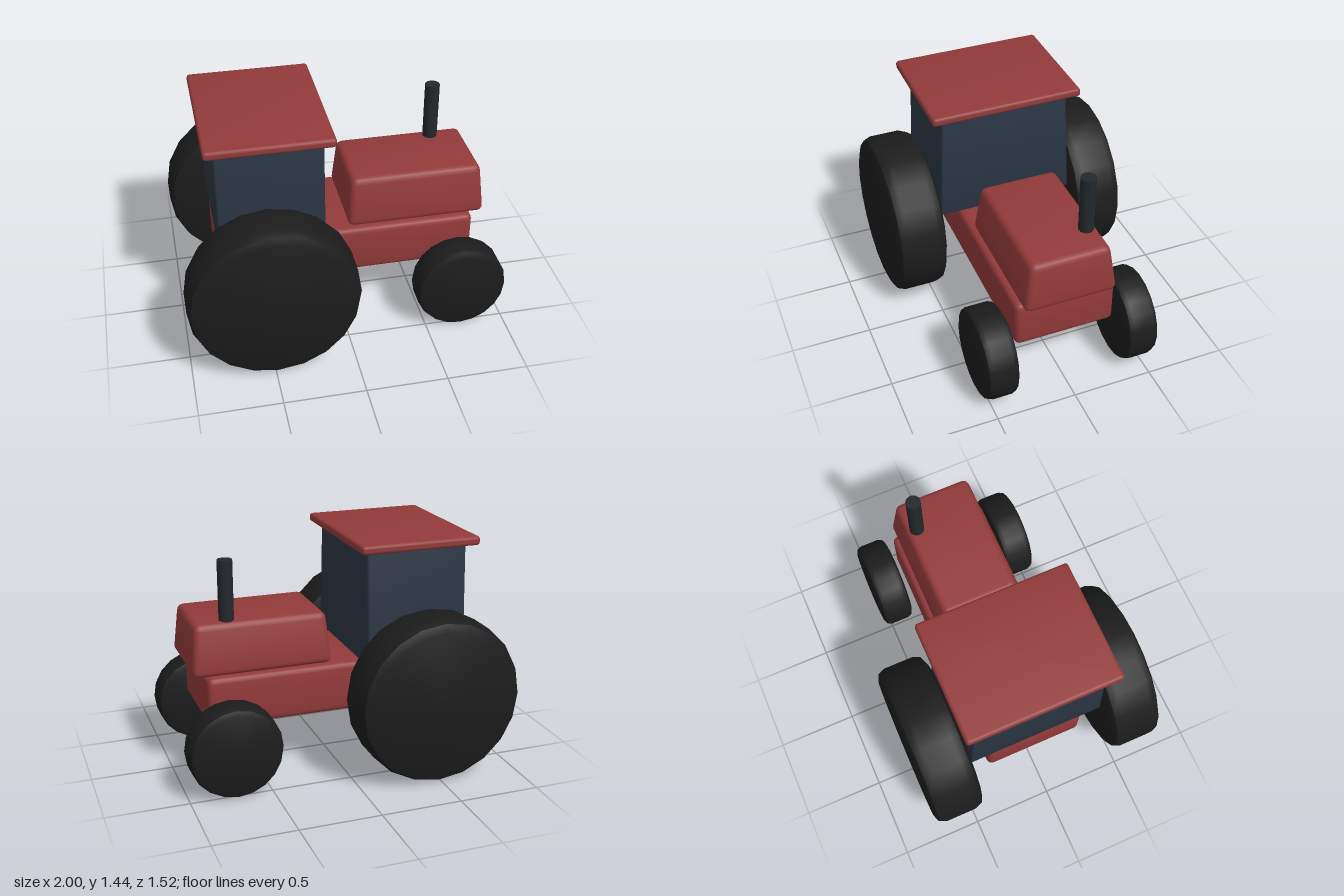
import * as THREE from 'three';
import { toCreasedNormals } from 'three/addons/utils/BufferGeometryUtils.js';
import { RoundedBoxGeometry } from 'three/addons/geometries/RoundedBoxGeometry.js';

const paint = (color) => new THREE.MeshStandardMaterial({ color });

export function createModel() {
  const model = new THREE.Group();
  const red = paint(0x933a3a);
  const rubber = paint(0x1c1c1c);
  const glass = paint(0x2a3644);
  const steel = paint(0x23282c);

  const add = (name, geometry, material, x, y, z) => {
    const mesh = new THREE.Mesh(geometry, material);
    mesh.name = name;
    mesh.position.set(x, y, z);
    model.add(mesh);
    return mesh;
  };

  // Bevelled box between two corners, narrowing towards the top by topX and topZ
  const block = (name, material, [x0, x1], [y0, y1], halfZ, bevel, topX = 1, topZ = 1) => {
    const h = y1 - y0;
    const geometry = new RoundedBoxGeometry(x1 - x0, h, halfZ * 2, 2, bevel);
    const p = geometry.attributes.position;
    for (let i = 0; i < p.count; i++) {
      const t = p.getY(i) / h + 0.5;
      p.setX(i, p.getX(i) * THREE.MathUtils.lerp(1, topX, t));
      p.setZ(i, p.getZ(i) * THREE.MathUtils.lerp(1, topZ, t));
    }
    add(name, toCreasedNormals(geometry, 0.5), material, (x0 + x1) / 2, (y0 + y1) / 2, 0);
  };

  block('chassis', red, [-0.76, 0.825], [0.37, 0.68], 0.315, 0.035);
  block('hood', red, [0.04, 0.905], [0.68, 0.995], 0.29, 0.04, 0.935, 0.84);
  block('cab', glass, [-0.765, -0.13], [0.68, 1.39], 0.435, 0.012, 1, 0.92);
  block('roof', red, [-0.825, -0.07], [1.385, 1.44], 0.475, 0.02);

  // Exhaust pipe on the right side of the hood
  add('exhaust', new THREE.CylinderGeometry(0.046, 0.046, 0.42, 16), steel, 0.67, 1.15, -0.18);

  // Solid wheel turned from a profile with bevelled shoulders
  const wheel = (name, r, halfWidth, bevel, x, z) => {
    const b = bevel;
    const half = [[r, halfWidth - b], [r - 0.29 * b, halfWidth - 0.29 * b], [r - b, halfWidth], [0, halfWidth]];
    const profile = [
      ...half.map(([u, v]) => new THREE.Vector2(u, -v)).reverse(),
      ...half.map(([u, v]) => new THREE.Vector2(u, v)),
    ];
    const geometry = new THREE.LatheGeometry(profile, 20);
    geometry.rotateX(Math.PI / 2);
    add(name, toCreasedNormals(geometry, 0.5), rubber, x, r + 0.003, z);
  };

  for (const [side, s] of [['Right', -1], ['Left', 1]]) {
    wheel('rearWheel' + side, 0.516, 0.16, 0.065, -0.485, s * 0.6);
    wheel('frontWheel' + side, 0.285, 0.1, 0.04, 0.715, s * 0.448);
  }

  return model;
}
